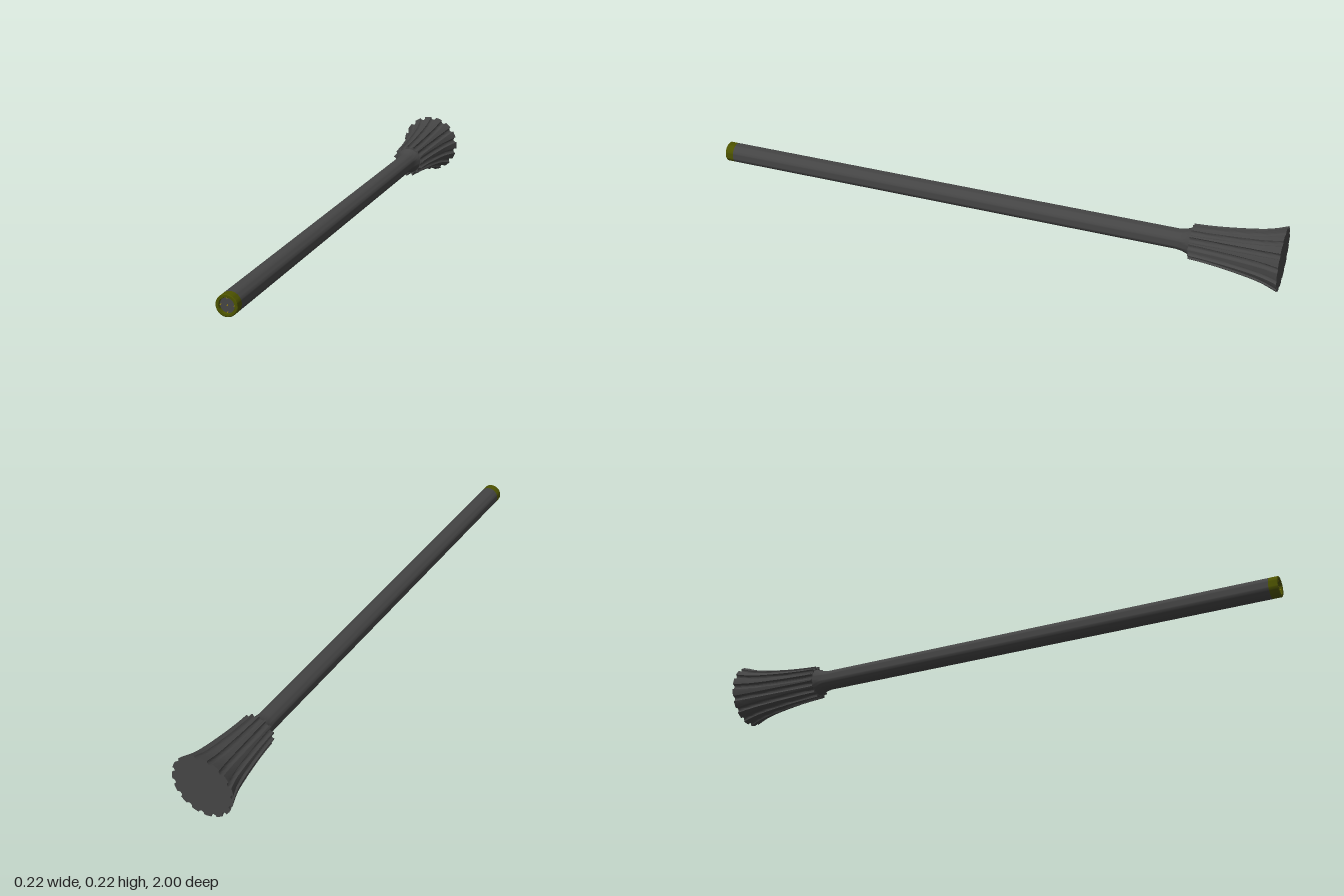
import * as THREE from 'three';
import { toCreasedNormals } from 'three/addons/utils/BufferGeometryUtils.js';

const AXIS_Y = 0.109;
const material = (color) => new THREE.MeshStandardMaterial({ color });

// Turned part along z from [radius, z] pairs listed towards +z
function turned(name, points, mat, segments = 48) {
  const geo = new THREE.LatheGeometry(points.map(([r, z]) => new THREE.Vector2(r, z)), segments);
  geo.rotateX(Math.PI / 2);
  const mesh = new THREE.Mesh(toCreasedNormals(geo.toNonIndexed(), 0.6), mat);
  mesh.name = name;
  return mesh;
}

// Cross-section of the flare: ribs with round grooves of constant width
function flutedRing(radius, z) {
  const COUNT = 15, HALF_WIDTH = 0.0098, DEPTH = 0.0098, STEPS = 8;
  const half = Math.asin(HALF_WIDTH / radius);
  const edge = radius * Math.cos(half);
  const ring = [];
  for (let k = 0; k < COUNT; k++) {
    const mid = Math.PI + (k * 2 * Math.PI) / COUNT;
    for (let s = 0; s <= STEPS; s++) {
      const t = (Math.PI * s) / STEPS;
      const u = edge - DEPTH * Math.sin(t), v = -HALF_WIDTH * Math.cos(t);
      ring.push([u * Math.cos(mid) - v * Math.sin(mid), u * Math.sin(mid) + v * Math.cos(mid), z]);
    }
    // rounded rib crown between two grooves
    const gap = (2 * Math.PI) / COUNT - 2 * half;
    for (const f of [1 / 3, 2 / 3]) {
      const a = mid + half + gap * f;
      ring.push([radius * Math.cos(a), radius * Math.sin(a), z]);
    }
  }
  return ring;
}

function flutedFlare(mat) {
  const profile = new THREE.SplineCurve([
    [0.108, -1], [0.092, -0.955], [0.081, -0.905], [0.069, -0.82], [0.062, -0.75], [0.059, -0.7],
  ].map(([r, z]) => new THREE.Vector2(r, z)));
  const rings = profile.getPoints(20).map((p) => flutedRing(p.x, p.y));
  const n = rings[0].length, pos = [];
  const tri = (a, b, c) => pos.push(...a, ...b, ...c);
  for (let j = 0; j < n; j++) {
    const k = (j + 1) % n;
    for (let i = 0; i < rings.length - 1; i++) {
      const lo = rings[i], hi = rings[i + 1];
      tri(lo[j], lo[k], hi[k]);
      tri(lo[j], hi[k], hi[j]);
    }
    // flat ends
    tri([0, 0, -1], rings[0][k], rings[0][j]);
    const last = rings[rings.length - 1];
    tri([0, 0, -0.7], last[j], last[k]);
  }
  const geo = new THREE.BufferGeometry();
  geo.setAttribute('position', new THREE.Float32BufferAttribute(pos, 3));
  const mesh = new THREE.Mesh(toCreasedNormals(geo, 0.6), mat);
  mesh.name = 'flutedFlare';
  return mesh;
}

export function createModel() {
  const group = new THREE.Group();
  group.name = 'flutedRod';
  const body = new THREE.Group();
  body.name = 'body';
  body.position.y = AXIS_Y;
  group.add(body);

  const dark = material(0x444444), olive = material(0x4c5200);
  const gold = material(0xb89a00), orange = material(0xd07a10);

  body.add(flutedFlare(dark));

  // Shaft with the collar that blends it into the flare
  body.add(turned('shaft', [
    [0.048, -0.702], [0.042, -0.69], [0.037, -0.675], [0.034, -0.655], [0.034, 0.97],
  ], dark));

  // Hollow end ring and its recessed face
  body.add(turned('endRing', [
    [0.034, 0.97], [0.034, 0.998], [0.032, 1], [0.025, 1], [0.024, 0.998], [0.024, 0.985],
  ], olive));
  body.add(turned('endFace', [[0.025, 0.99], [0, 0.99]], dark));

  // Two opposite coloured arcs on the end ring
  [0.95, 3.95].forEach((start) => {
    const geo = new THREE.TorusGeometry(0.0312, 0.0008, 6, 16, 0.75);
    const arc = new THREE.Mesh(geo, orange);
    arc.name = 'endArc';
    arc.rotation.z = start;
    arc.position.z = 0.9992;
    body.add(arc);
  });

  // Five small contact pins
  [[0, 0], [0.021, 0], [-0.021, 0], [0, 0.021], [0, -0.021]].forEach(([x, y]) => {
    const pin = new THREE.Mesh(new THREE.CylinderGeometry(0.0014, 0.0014, 0.006, 10), gold);
    pin.name = 'contactPin';
    pin.rotation.x = Math.PI / 2;
    pin.position.set(x, y, 0.992);
    body.add(pin);
  });

  return group;
}
